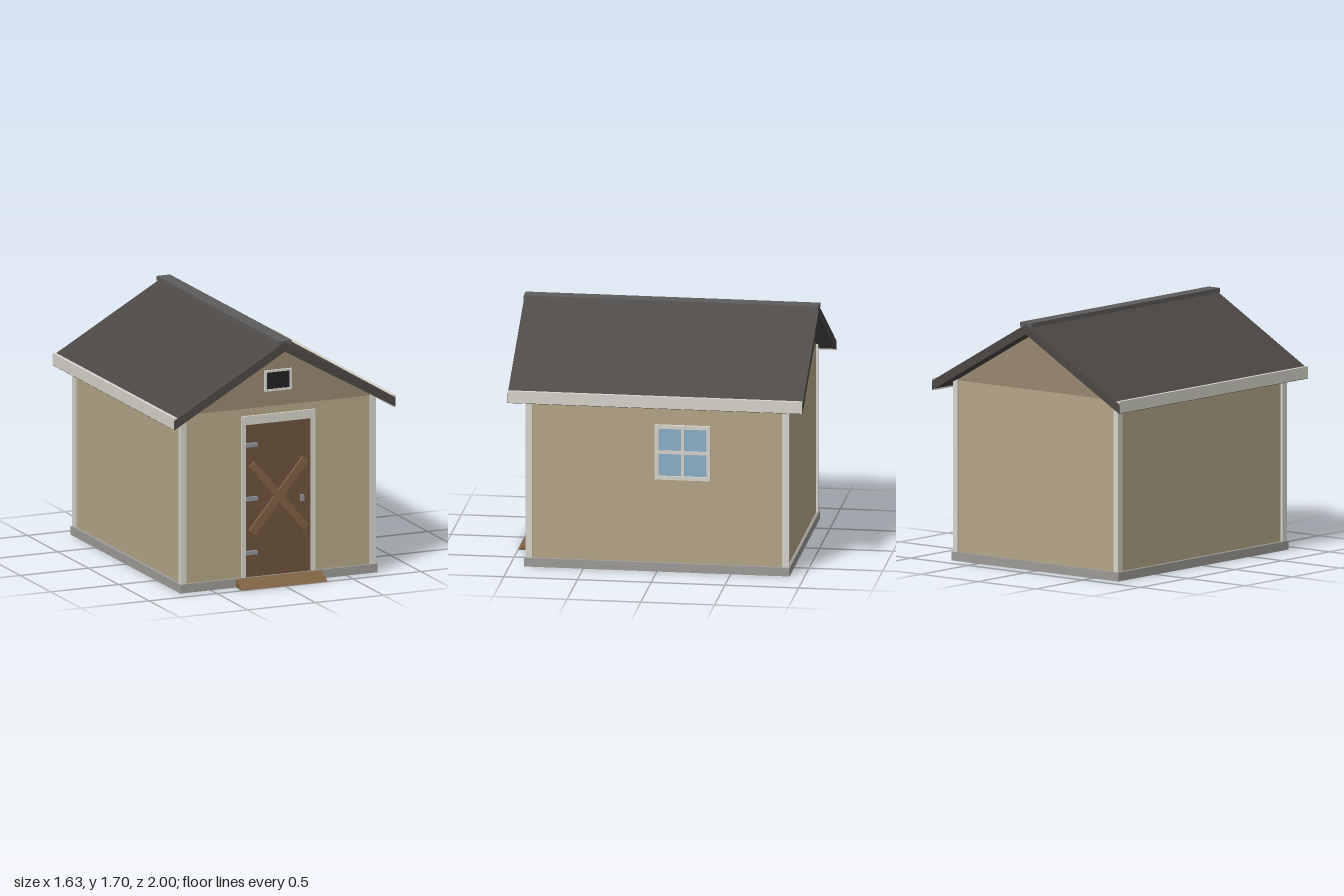
import * as THREE from 'three';

const COLORS = {
  wall: 0xb5a587, gable: 0x988770, trim: 0xd6d4ca, roof: 0x4b4744, ridge: 0x5e5c5a,
  base: 0x9c9b96, door: 0x6d523c, wood: 0x7f6142, metal: 0x8e9499, glass: 0x8cb0c8, dark: 0x222226,
};
const materials = {};
for (const key in COLORS) materials[key] = new THREE.MeshStandardMaterial({ color: COLORS[key] });

export function createModel() {
  const model = new THREE.Group();
  model.name = 'gardenShed';

  const add = (name, geometry, color, parent = model) => {
    const mesh = new THREE.Mesh(geometry, materials[color]);
    mesh.name = name;
    parent.add(mesh);
    return mesh;
  };
  // Box given by its lower and upper limits on each axis
  const box = (name, color, [x0, x1], [y0, y1], [z0, z1], parent) => {
    const mesh = add(name, new THREE.BoxGeometry(x1 - x0, y1 - y0, z1 - z0), color, parent);
    mesh.position.set((x0 + x1) / 2, (y0 + y1) / 2, (z0 + z1) / 2);
    return mesh;
  };
  // Outline in x, y extruded along z, centred on z = 0
  const prism = (points, depth) => {
    const shape = new THREE.Shape(points.map(([x, y]) => new THREE.Vector2(x, y)));
    return new THREE.ExtrudeGeometry(shape, { depth, bevelEnabled: false }).translate(0, 0, -depth / 2);
  };
  // Rectangular frame facing +z with its back at z = 0
  const frame = (w, h, border, depth) => {
    const shape = new THREE.Shape([[-w, -h], [w, -h], [w, h], [-w, h]].map(([x, y]) => new THREE.Vector2(x / 2, y / 2)));
    const iw = w - border * 2, ih = h - border * 2;
    shape.holes.push(new THREE.Path([[-iw, -ih], [-iw, ih], [iw, ih], [iw, -ih]].map(([x, y]) => new THREE.Vector2(x / 2, y / 2))));
    return new THREE.ExtrudeGeometry(shape, { depth, bevelEnabled: false });
  };

  // Base, walls and gables
  box('base', 'base', [-0.725, 0.725], [0, 0.06], [-0.9, 0.9]);
  box('walls', 'wall', [-0.7, 0.7], [0.06, 1.225], [-0.88, 0.88]);
  add('gables', prism([[-0.7, 1.225], [0.7, 1.225], [0, 1.625]], 1.76), 'gable');

  // Corner boards and eave fascias
  for (const side of [-1, 1]) {
    for (const end of [-1, 1]) {
      const post = box('cornerBoard', 'trim', [0.677, 0.717], [0.06, 1.23], [0.848, 0.894]);
      post.position.x *= side;
      post.position.z *= end;
    }
    const fascia = box('fascia', 'trim', [0.79, 0.815], [1.163, 1.243], [-0.998, 0.998]);
    fascia.position.x *= side;
  }

  // Roof with its ridge cap
  add('roof', prism([
    [0, 1.622], [0.814, 1.16], [0.814, 1.225], [0, 1.688], [-0.814, 1.225], [-0.814, 1.16],
  ], 2), 'roof');
  box('ridgeCap', 'ridge', [-0.05, 0.05], [1.67, 1.7], [-0.999, 0.999]);

  // Door, surround and cross brace
  const door = new THREE.Group();
  door.name = 'door';
  model.add(door);
  box('doorPanel', 'door', [-0.24, 0.24], [0.06, 1.115], [0.87, 0.888], door);
  box('doorHeader', 'trim', [-0.27, 0.27], [1.115, 1.175], [0.87, 0.897], door);
  for (const side of [-1, 1]) {
    const jamb = box('doorJamb', 'trim', [0.24, 0.27], [0.06, 1.115], [0.87, 0.897], door);
    jamb.position.x *= side;
    const brace = add('doorBrace', new THREE.BoxGeometry(0.62, 0.056, 0.02), 'wood', door);
    brace.position.set(0, 0.603, 0.895 + side * 0.0005);
    brace.rotation.z = side * 0.876;
  }
  for (const y of [0.23, 0.603, 0.975]) {
    box('hinge', 'metal', [-0.24, -0.16], [y - 0.013, y + 0.013], [0.885, 0.911], door);
  }
  box('doorHandle', 'metal', [0.16, 0.18], [0.552, 0.595], [0.885, 0.916], door);

  // Entry ramp, profile turned so that it slopes down toward the front
  const ramp = add('ramp', prism([[0, 0], [0.1, 0], [0, 0.058]], 0.63), 'wood');
  ramp.rotation.y = -Math.PI / 2;
  ramp.position.z = 0.9;

  // Gable vent
  const vent = new THREE.Group();
  vent.name = 'gableVent';
  vent.position.set(0, 1.403, 0.878);
  model.add(vent);
  add('ventFrame', frame(0.2, 0.145, 0.014, 0.017), 'trim', vent);
  box('ventOpening', 'dark', [-0.086, 0.086], [-0.059, 0.059], [0, 0.008], vent);

  // Side window, built facing +z and turned to face +x
  const win = new THREE.Group();
  win.name = 'sideWindow';
  win.position.set(0.698, 0.83, -0.172);
  win.rotation.y = Math.PI / 2;
  model.add(win);
  add('windowFrame', frame(0.375, 0.38, 0.025, 0.023), 'trim', win);
  box('windowGlass', 'glass', [-0.165, 0.165], [-0.167, 0.167], [0, 0.009], win);
  box('mullion', 'trim', [-0.011, 0.011], [-0.165, 0.165], [0, 0.018], win);
  box('crossbar', 'trim', [-0.163, 0.163], [-0.011, 0.011], [0, 0.0175], win);

  return model;
}
